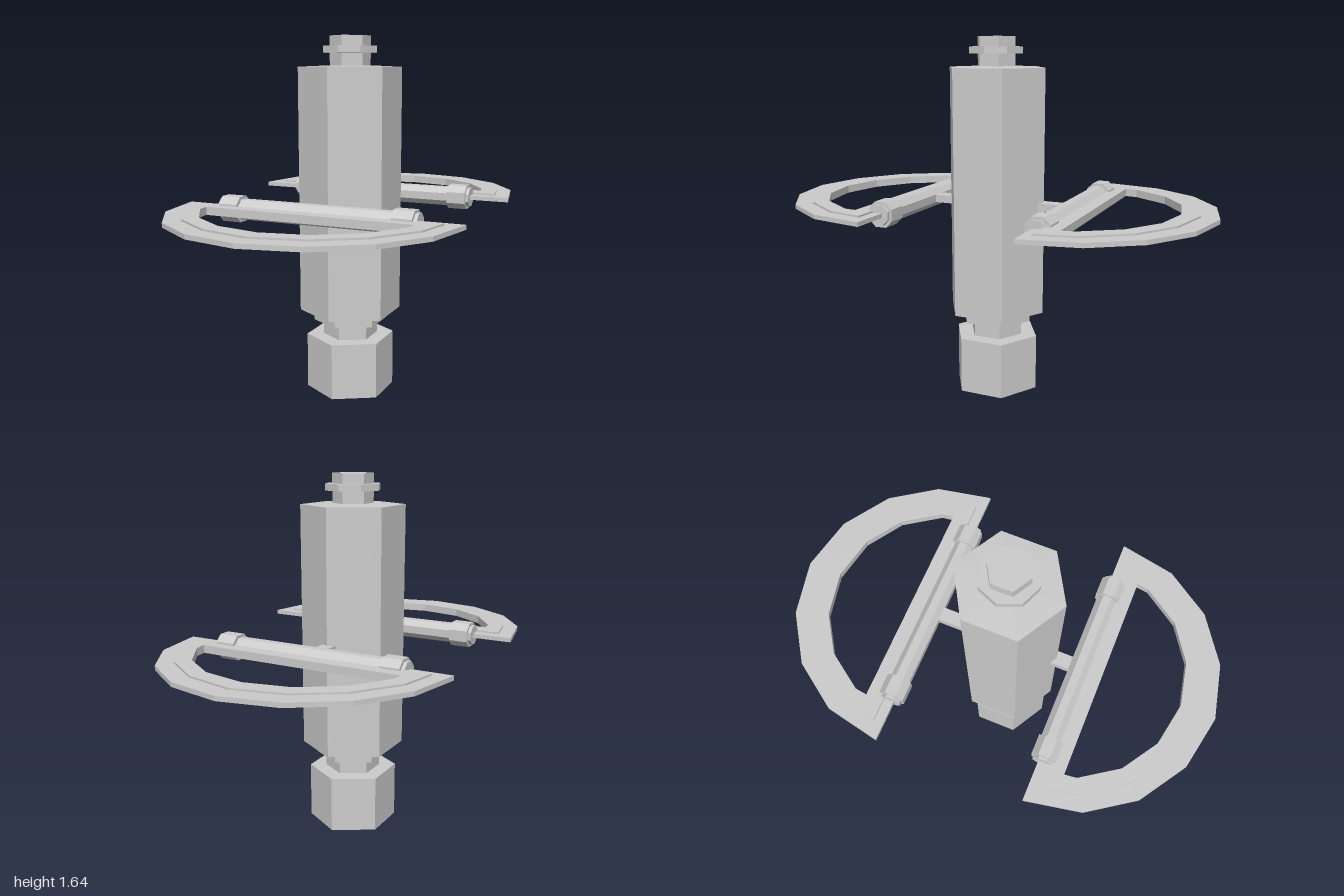
import * as THREE from 'three';

const material = new THREE.MeshStandardMaterial({ color: 0xcccccc, flatShading: true });

function addMesh(parent, name, geometry, x = 0, y = 0, z = 0) {
  const mesh = new THREE.Mesh(geometry, material);
  mesh.name = name;
  mesh.position.set(x, y, z);
  parent.add(mesh);
  return mesh;
}

// Mirror one half of an outline (ending on x = 0) across x
function mirrored(half) {
  const other = half.slice(0, -1).reverse().map(([x, z]) => [-x, z]);
  return [...half, ...other].map(([x, z]) => new THREE.Vector2(x, z));
}

// Flat horizontal D-shaped plate with a D-shaped opening
function plate(outer, inner, thickness) {
  const shape = new THREE.Shape(mirrored(outer));
  shape.holes.push(new THREE.Path(mirrored(inner)));
  return new THREE.ExtrudeGeometry(shape, { depth: thickness, bevelEnabled: false })
    .translate(0, 0, -thickness / 2)
    .rotateX(Math.PI / 2);
}

// Bar along x with a chamfered square section
function chamferedBar(size, chamfer, length) {
  const h = size / 2, c = h - chamfer;
  const corners = [[h, -c], [h, c], [c, h], [-c, h], [-h, c], [-h, -c], [-c, -h], [c, -h]];
  const shape = new THREE.Shape(corners.map(([x, y]) => new THREE.Vector2(x, y)));
  return new THREE.ExtrudeGeometry(shape, { depth: length, bevelEnabled: false })
    .translate(0, 0, -length / 2)
    .rotateY(Math.PI / 2);
}

const rim = [[0.65, 0.345], [0.6, 0.6], [0.46, 0.805], [0.25, 0.945], [0, 0.998]];
const ridge = [[0.575, 0.39], [0.542, 0.555], [0.41, 0.745], [0.225, 0.868], [0, 0.918]];
const opening = [[0.482, 0.47], [0.475, 0.525], [0.363, 0.69], [0.2, 0.798], [0, 0.838]];

function createHandle() {
  const handle = new THREE.Group();
  const y = 0.887;
  addMesh(handle, 'handleRim', plate(rim, opening, 0.02), 0, y);
  addMesh(handle, 'handleRidge', plate(ridge, opening, 0.036), 0, y);
  addMesh(handle, 'hingeBar', chamferedBar(0.088, 0.026, 0.93), 0, y, 0.361);
  for (const side of [1, -1]) {
    addMesh(handle, side > 0 ? 'leftClamp' : 'rightClamp',
      chamferedBar(0.112, 0.03, 0.09), side * 0.405, y, 0.363);
  }
  addMesh(handle, 'mountingPin', new THREE.BoxGeometry(0.064, 0.036, 0.18), 0, y, 0.25);
  return handle;
}

export function createModel() {
  const model = new THREE.Group();

  // Stacked prisms: name, bottom, top, lower radius, upper radius, sides
  const core = new THREE.Group();
  core.name = 'core';
  core.position.z = 0.014;
  model.add(core);
  const sections = [
    ['foot', 0, 0.26, 0.204, 0.204, 6],
    ['neck', 0.26, 0.33, 0.127, 0.127, 6],
    ['collar', 0.33, 0.38, 0.171, 0.171, 6],
    ['body', 0.38, 1.504, 0.235, 0.235, 6],
    ['bodyTop', 1.504, 1.51, 0.235, 0.09, 6],
    ['topStem', 1.505, 1.565, 0.092, 0.092, 6],
    ['topRing', 1.565, 1.595, 0.128, 0.128, 8],
    ['topCap', 1.595, 1.64, 0.092, 0.092, 6],
  ];
  for (const [name, y0, y1, r0, r1, sides] of sections) {
    addMesh(core, name, new THREE.CylinderGeometry(r1, r0, y1 - y0, sides), 0, (y0 + y1) / 2);
  }

  // One handle in front, one behind
  const front = createHandle();
  front.name = 'frontHandle';
  const back = createHandle();
  back.name = 'backHandle';
  back.rotation.y = Math.PI;
  front.position.z = -0.002;
  back.position.z = -0.002;
  model.add(front, back);

  return model;
}
